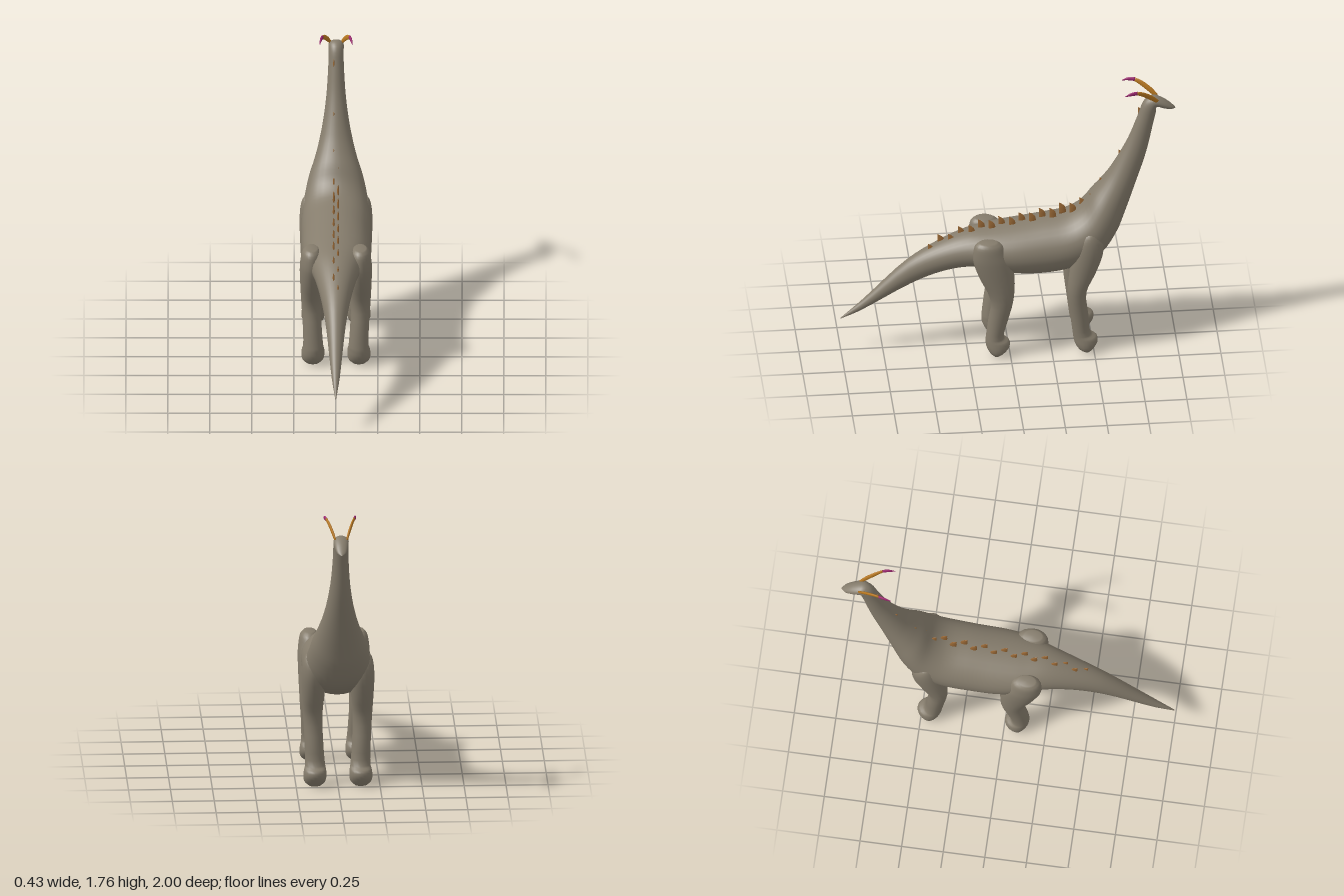
import * as THREE from 'three';

const hide = new THREE.MeshStandardMaterial({ color: 0x857c6c });
const spine = new THREE.MeshStandardMaterial({ color: 0x9c6a36 });
const hornOrange = new THREE.MeshStandardMaterial({ color: 0xb87820 });
const hornTip = new THREE.MeshStandardMaterial({ color: 0x9c2870 });
hide.name = 'hide';
spine.name = 'spine';
hornOrange.name = 'horn orange';
hornTip.name = 'horn tip';

const V = (x, y, z) => new THREE.Vector3(x, y, z);

// Closed smooth skin over elliptical sections { c: centre, u, v: half axes }
function loft(sections, n) {
  const pos = [], index = [];
  for (const { c, u, v } of sections) {
    for (let i = 0; i < n; i++) {
      const a = (i / n) * Math.PI * 2;
      pos.push(...c.clone().addScaledVector(u, Math.cos(a)).addScaledVector(v, Math.sin(a)));
    }
  }
  const m = sections.length, start = m * n, end = start + 1;
  pos.push(...sections[0].c, ...sections[m - 1].c);
  for (let i = 0; i < n; i++) {
    const j = (i + 1) % n;
    for (let s = 0; s < m - 1; s++) {
      const a = s * n + i, b = s * n + j;
      index.push(a, b, a + n, b, b + n, a + n);
    }
    index.push(start, j, i, end, (m - 1) * n + i, (m - 1) * n + j);
  }
  const g = new THREE.BufferGeometry();
  g.setAttribute('position', new THREE.Float32BufferAttribute(pos, 3));
  g.setIndex(index);
  g.computeVertexNormals();
  return g;
}

// Resample a list of points as a smooth curve
const smooth = (points, steps) => new THREE.CatmullRomCurve3(points).getPoints((points.length - 1) * steps);

function part(name, geometry, material) {
  const mesh = new THREE.Mesh(geometry, material);
  mesh.name = name;
  return mesh;
}

// Tail, trunk, neck and head: [top z, top y, bottom z, bottom y, half width]
const BODY = [
  [1, .228, 1, .222, .003], [.87, .345, .89, .272, .024], [.6, .61, .58, .455, .062],
  [.42, .72, .40, .535, .095], [.25, .79, .24, .57, .135], [.1, .815, .1, .56, .18],
  [0, .83, -.02, .527, .2], [-.2, .86, -.2, .515, .205], [-.36, .89, -.4, .55, .205],
  [-.44, .945, -.56, .635, .192], [-.5, 1.03, -.65, .77, .165], [-.555, 1.1, -.7, .9, .13],
  [-.61, 1.18, -.76, 1.08, .095], [-.715, 1.38, -.825, 1.29, .06], [-.775, 1.54, -.87, 1.5, .047],
  [-.815, 1.645, -.885, 1.57, .045], [-.865, 1.675, -.89, 1.605, .046], [-.93, 1.65, -.93, 1.592, .04],
  [-.98, 1.61, -.975, 1.583, .025], [-1, 1.59, -1, 1.586, .004],
];

function bodyGeometry() {
  const top = smooth(BODY.map(([z, y, , , w]) => V(w, y, z)), 4);
  const low = smooth(BODY.map(([, , z, y, w]) => V(w, y, z)), 4);
  return loft(top.map((t, i) => {
    const b = low[i];
    return {
      c: V(0, (t.y + b.y) / 2, (t.z + b.z) / 2),
      u: V(t.x, 0, 0),
      v: V(0, (b.y - t.y) / 2, (b.z - t.z) / 2),
    };
  }), 32);
}

// Legs from sole to shoulder: [y, back z, front z, inner x, outer x]
const FRONT_LEG = [
  [.003, -.44, -.475, .105, .17], [.03, -.405, -.5, .075, .2], [.065, -.385, -.522, .068, .206],
  [.1, -.378, -.52, .07, .202], [.125, -.375, -.483, .075, .195], [.25, -.36, -.468, .085, .197],
  [.42, -.342, -.455, .09, .206], [.55, -.352, -.51, .08, .213], [.68, -.372, -.555, .07, .217],
  [.77, -.4, -.555, .08, .211], [.82, -.435, -.52, .1, .195], [.838, -.46, -.49, .12, .17],
];
const HIND_LEG = [
  [.003, .1, .065, .105, .17], [.03, .125, .03, .075, .2], [.065, .142, .002, .068, .206],
  [.1, .147, .006, .07, .202], [.125, .146, .037, .075, .195], [.25, .132, .012, .085, .197],
  [.39, .118, -.02, .09, .206], [.55, .185, -.025, .08, .213], [.66, .22, -.005, .075, .215],
  [.72, .222, .022, .08, .21], [.77, .212, .045, .09, .2], [.795, .185, .08, .11, .18],
];

function legGeometry(rows, side) {
  const a = smooth(rows.map(([y, z0, , x0]) => V(x0, y, z0)), 3);
  const b = smooth(rows.map(([y, , z1, , x1]) => V(x1, y, z1)), 3);
  return loft(a.map((p, i) => ({
    c: V(side * (p.x + b[i].x) / 2, p.y, (p.z + b[i].z) / 2),
    u: V(0, 0, (p.z - b[i].z) / 2),
    v: V((b[i].x - p.x) / 2, 0, 0),
  })), 20);
}

// Curved flat spike: rows of [x, y, z, deep radius], thin across x
function spikeGeometry(rows, flat, n, steps) {
  const points = smooth(rows.map(([x, y, z]) => V(x, y, z)), steps);
  const radii = smooth(rows.map((r, i) => V(r[3], i, 0)), steps);
  return loft(points.map((c, i) => {
    const d = points[Math.min(i + 1, points.length - 1)].clone().sub(points[Math.max(i - 1, 0)]);
    const r = radii[i].x;
    return { c, u: V(r * flat, 0, 0), v: V(0, d.z, -d.y).setLength(r) };
  }), n);
}

// Tip heights of the back spines, from tail to neck
const SPINE_TIPS = [.722, .77, .785, .82, .84, .86, .868, .876, .885, .895, .908, .92, .933, .95, .962, .98, 1.02, 1.112];

export function createModel() {
  const model = new THREE.Group();
  model.name = 'longNeckedDinosaur';
  model.add(part('body', bodyGeometry(), hide));

  for (const side of [1, -1]) {
    // The animal looks towards -z
    const label = side > 0 ? 'left' : 'right';
    model.add(part(label + 'FrontLeg', legGeometry(FRONT_LEG, side), hide));
    model.add(part(label + 'HindLeg', legGeometry(HIND_LEG, side), hide));

    const horn = new THREE.Group();
    horn.name = label + 'Horn';
    horn.add(part('hornShaft', spikeGeometry([
      [side * .035, 1.655, -.89, .012], [side * .05, 1.693, -.85, .016],
      [side * .069, 1.73, -.8, .015], [side * .082, 1.747, -.765, .012],
    ], .5, 12, 4), hornOrange));
    horn.add(part('hornPoint', spikeGeometry([
      [side * .082, 1.747, -.766, .0125], [side * .09, 1.747, -.73, .011], [side * .096, 1.736, -.69, .002],
    ], .6, 12, 4), hornTip));
    model.add(horn);
  }

  // Two staggered rows of spines along the back
  const spines = new THREE.Group();
  spines.name = 'backSpines';
  const addSpine = (x, y, z) => spines.add(part('spine', spikeGeometry([
    [x, y - .075, z - .022, .021], [x, y - .035, z - .018, .019],
    [x, y - .014, z - .009, .01], [x, y, z, .001],
  ], .3, 8, 3), spine));
  SPINE_TIPS.forEach((y, i) => addSpine(i % 2 ? -.013 : .013, y, .48 - .0605 * i));
  addSpine(-.013, 1.3, -.663);
  addSpine(-.013, 1.592, -.778);
  model.add(spines);
  return model;
}
